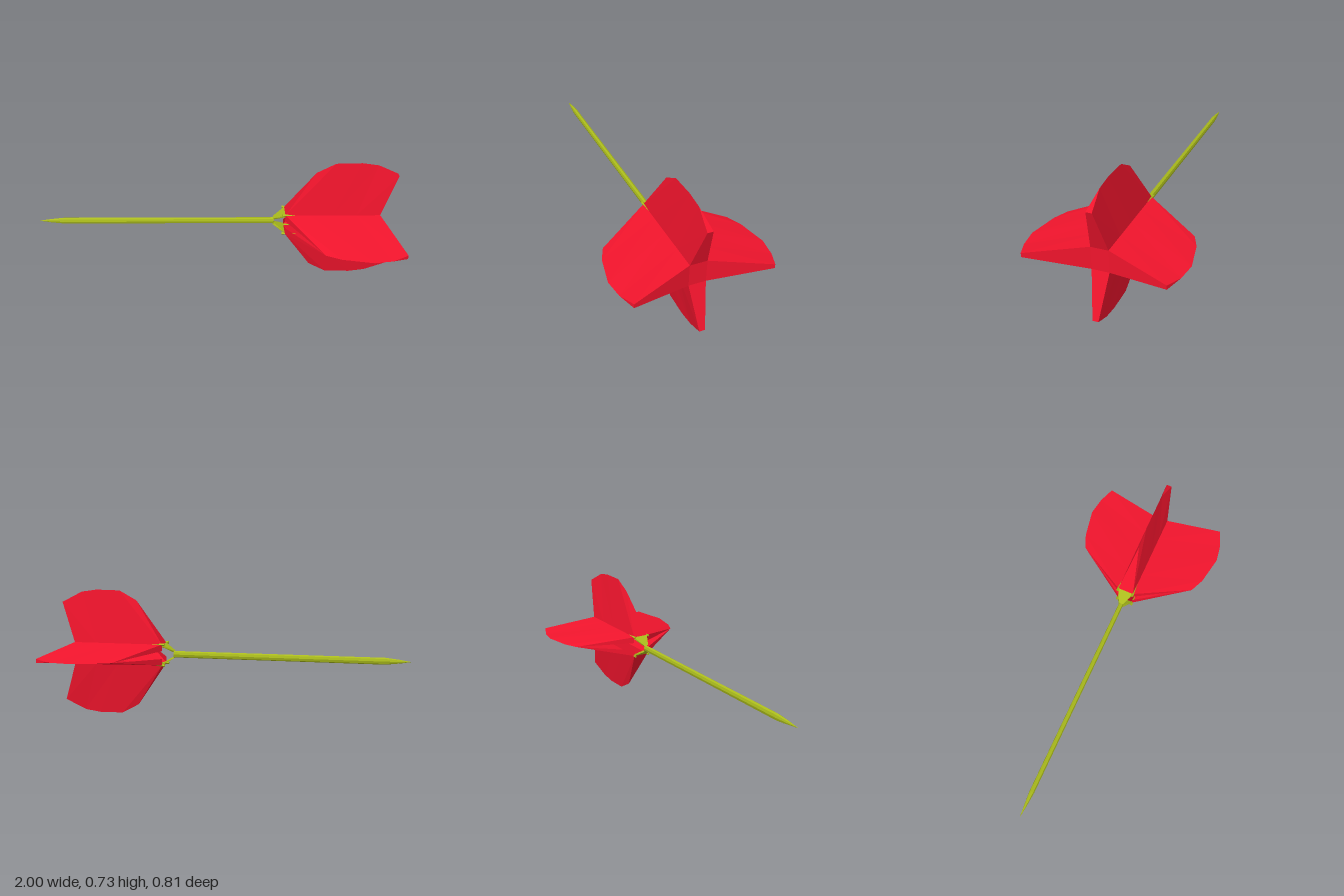
import * as THREE from 'three';

const red = new THREE.MeshStandardMaterial({ color: 0xf0142c, flatShading: true, side: THREE.DoubleSide });
const green = new THREE.MeshStandardMaterial({ color: 0xaabb1c, flatShading: true, side: THREE.DoubleSide });

const AXIS = 0.365;               // height of the dart's axis
const HY = 0.06, HZ = 0.045;      // half size of the square core
const X0 = 0.38, X1 = 0.905;      // core start and end along x

// Flat-shaded mesh from a list of triangles and quads
function faceMesh(name, faces, material) {
  const pos = [];
  for (const [a, b, c, d] of faces) {
    pos.push(...a, ...b, ...c);
    if (d) pos.push(...a, ...c, ...d);
  }
  const g = new THREE.BufferGeometry();
  g.setAttribute('position', new THREE.Float32BufferAttribute(pos, 3));
  g.computeVertexNormals();
  const m = new THREE.Mesh(g, material);
  m.name = name;
  return m;
}

// Hollow wedge fin rising along +y; outline is [x, radius] from front to back.
// lip is how far the leading edge is closed (1 = fully).
function fin(name, outline, baseR, baseT, tipT, lip, angle) {
  const n = outline.length - 1;
  const base = (i, s) => [X0 + (X1 - X0) * i / n, baseR, s * baseT];
  const edge = (i, s) => [outline[i][0], outline[i][1], i === n ? s * tipT : 0];
  const faces = [];
  for (let i = 0; i < n; i++) {
    faces.push([base(i, 1), base(i + 1, 1), edge(i + 1, 1), edge(i, 1)]);
    faces.push([base(i, -1), edge(i, -1), edge(i + 1, -1), base(i + 1, -1)]);
  }
  // trailing face and tip bevel
  faces.push([base(n, 1), base(n, -1), edge(n, -1), edge(n, 1)]);
  faces.push([edge(n - 1, 1), edge(n, 1), edge(n, -1)]);
  // leading edge lips
  const inner = 1 - lip;
  faces.push([base(0, inner), edge(0, 1), base(0, 1)]);
  faces.push([base(0, -inner), base(0, -1), edge(0, 1)]);
  const m = faceMesh(name, faces, red);
  m.rotation.x = angle;
  return m;
}

export function createModel() {
  const group = new THREE.Group();
  const dart = new THREE.Group();
  dart.name = 'dart';
  dart.position.y = AXIS;
  group.add(dart);

  // Needle shaft with a tapered point
  const profile = [[0, -1], [0.011, -0.93], [0.019, -0.86], [0.019, 0.32], [0, 0.32]];
  const shaftGeo = new THREE.LatheGeometry(profile.map(p => new THREE.Vector2(...p)), 8);
  shaftGeo.rotateZ(-Math.PI / 2);
  shaftGeo.scale(1, 1, 0.7);
  const shaft = new THREE.Mesh(shaftGeo, green);
  shaft.name = 'shaft';
  dart.add(shaft);

  // Flaring top and bottom plates, each with two thin prongs along the core corners
  for (const s of [1, -1]) {
    const a = (x, y, z) => [x, s * y, s * z];
    const plate = [
      [a(0.315, 0.02, 0.013), a(X0, HY, HZ), a(X0, HY, -HZ), a(0.315, 0.02, -0.013)],
      [a(0.325, 0.014, 0.013), a(0.325, 0.014, -0.013), a(X0, HY - 0.012, -HZ), a(X0, HY - 0.012, HZ)],
    ];
    for (const k of [1, -1]) {
      plate.push([a(0.315, 0.02, k * 0.013), a(0.325, 0.014, k * 0.013),
        a(X0, HY - 0.012, k * HZ), a(X0, HY, k * HZ)]);
    }
    dart.add(faceMesh(s > 0 ? 'topSocketPlate' : 'bottomSocketPlate', plate, green));

    for (const k of [1, -1]) {
      const geo = new THREE.ConeGeometry(0.008, 0.08, 4);
      geo.rotateZ(-Math.PI / 2);
      const prong = new THREE.Mesh(geo, green);
      prong.name = 'socketProng';
      prong.position.set(0.405, s * HY, k * HZ);
      dart.add(prong);
    }
  }

  // Four fins: upright pair closed in front, level pair open through the middle
  const upright = [[0.54, 0.305], [0.64, 0.36], [0.78, 0.363], [0.87, 0.35], [0.985, 0.29]];
  const level = [[0.57, 0.34], [0.65, 0.375], [0.81, 0.405], [0.91, 0.39], [0.995, 0.355]];
  dart.add(fin('topFin', upright, HY, HZ, 0.015, 1, 0));
  dart.add(fin('bottomFin', upright, HY, HZ, 0.015, 1, Math.PI));
  dart.add(fin('frontFin', level, HZ, HY, 0.011, 0.62, Math.PI / 2));
  dart.add(fin('backFin', level, HZ, HY, 0.011, 0.62, -Math.PI / 2));

  // Square cap closing the core at the rear
  dart.add(faceMesh('coreCap', [[[X1, -HY, HZ], [X1, -HY, -HZ], [X1, HY, -HZ], [X1, HY, HZ]]], red));

  return group;
}
